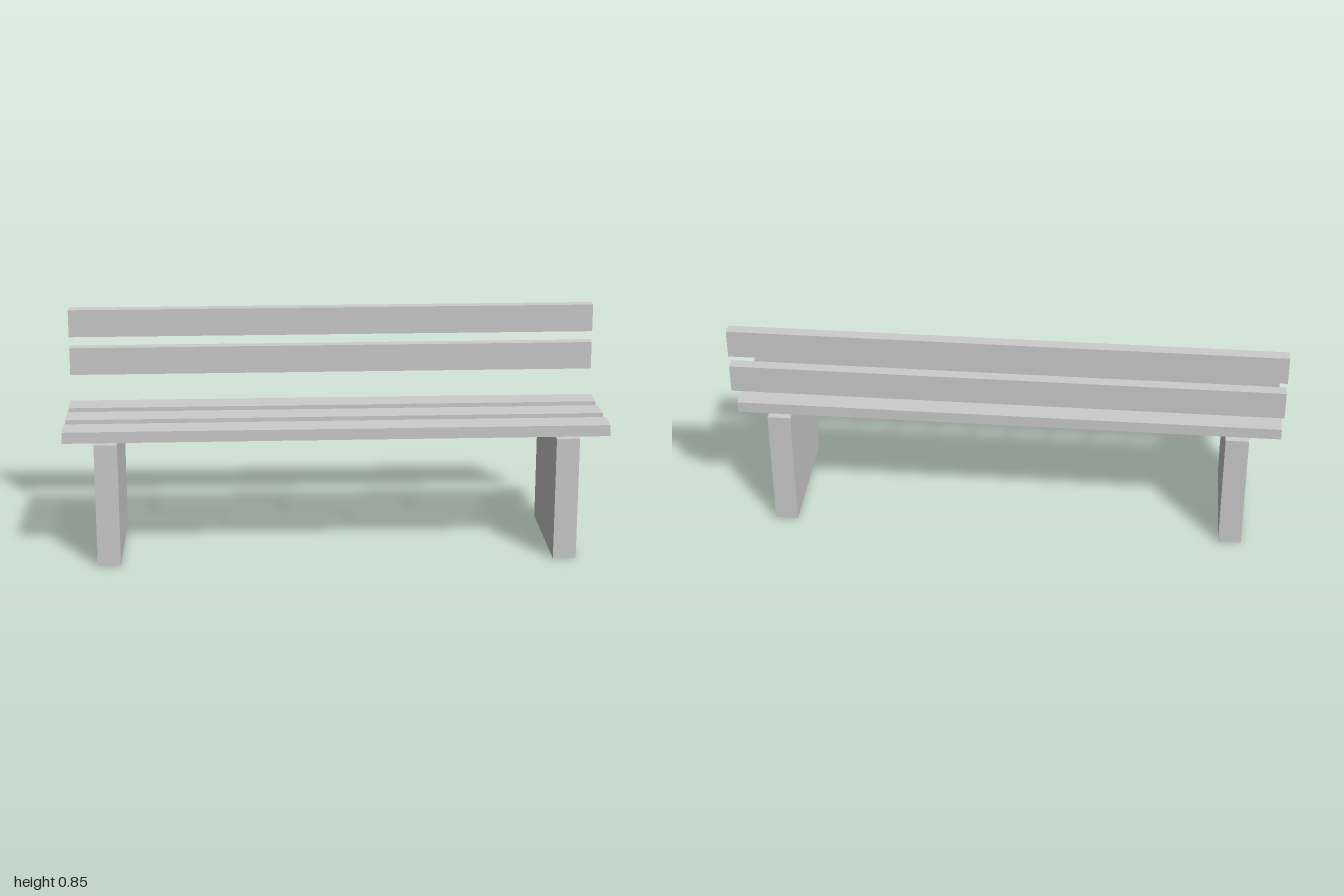
import * as THREE from 'three';

export function createModel() {
  const bench = new THREE.Group();
  bench.name = 'bench';
  const grey = new THREE.MeshStandardMaterial({ color: 0xcccccc });
  grey.name = 'light grey';

  function addBox(name, w, h, d, x, y, z) {
    const mesh = new THREE.Mesh(new THREE.BoxGeometry(w, h, d), grey);
    mesh.name = name;
    mesh.position.set(x, y, z);
    bench.add(mesh);
  }

  const legHeight = 0.464, thickness = 0.042, slatWidth = 0.105;

  // Solid slab legs
  for (const [name, side] of [['leftLeg', 1], ['rightLeg', -1]]) {
    addBox(name, 0.085, legHeight, 0.473, side * 0.842, legHeight / 2, 0.019);
  }

  // Seat slats, front to back
  ['frontSeatSlat', 'middleSeatSlat', 'backSeatSlat'].forEach((name, i) => {
    addBox(name, 2, thickness, slatWidth, 0, legHeight + thickness / 2, 0.177 - i * 0.158);
  });

  // Backrest slats, floating behind the seat
  ['lowerBackSlat', 'upperBackSlat'].forEach((name, i) => {
    addBox(name, 2, slatWidth, thickness, 0, 0.654 + i * 0.148, -0.235);
  });

  return bench;
}
